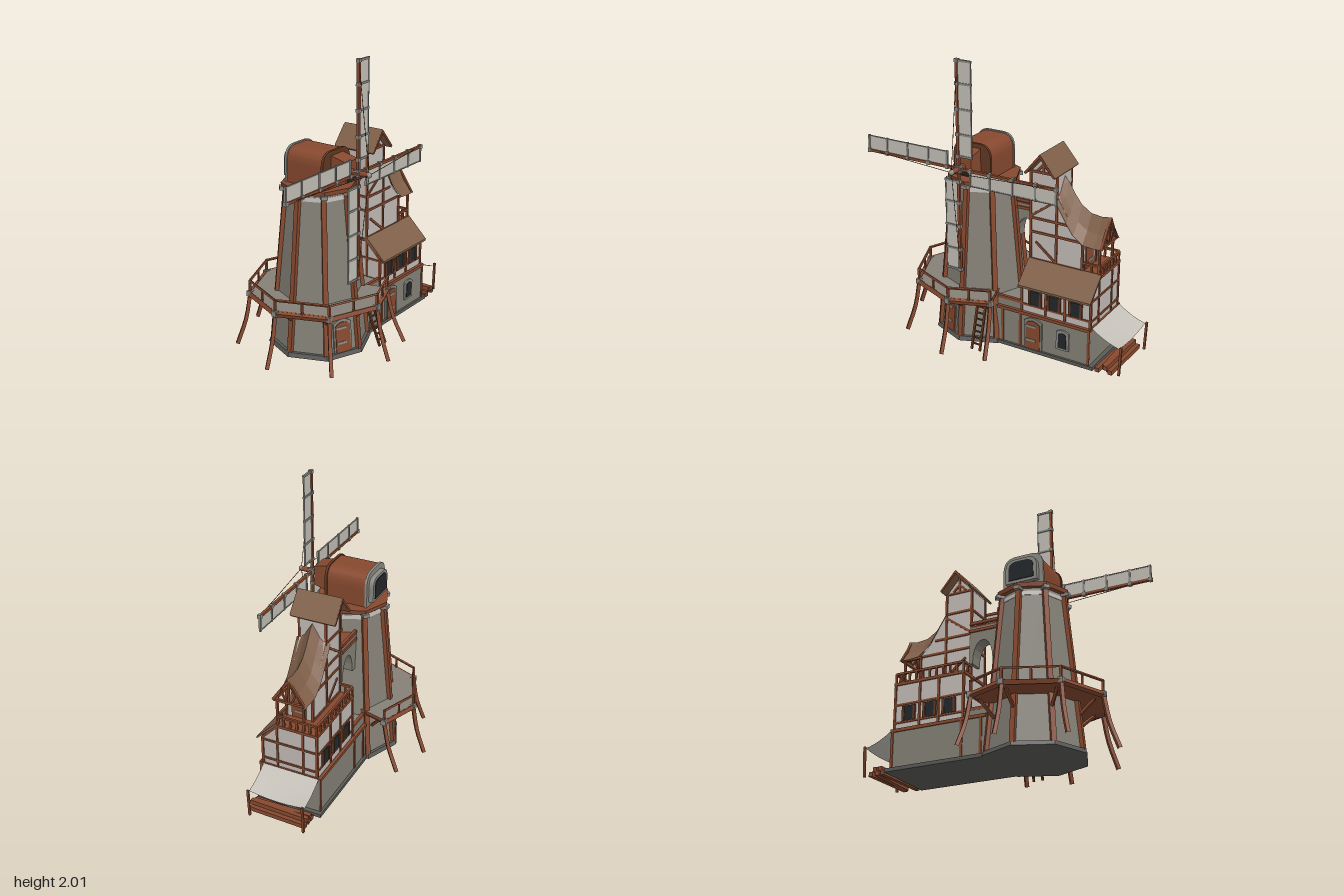
import * as THREE from 'three';

const mat = (name, color, double) => {
  const m = new THREE.MeshStandardMaterial({ color });
  m.name = name;
  if (double) m.side = THREE.DoubleSide;
  return m;
};

export function createModel() {
  const model = new THREE.Group();
  model.name = 'windmill';
  const stone = mat('stone', 0x858177), plinth = mat('darkStone', 0x5a5a57), plaster = mat('plaster', 0xc4bdb8);
  const wood = mat('wood', 0x87492f), roofing = mat('roofShingle', 0x806049, true), dark = mat('darkGlass', 0x24272a);
  const metal = mat('greyMetal', 0x8b8a84), cloth = mat('cloth', 0xc4c0b8, true), darkWood = mat('darkWood', 0x633822);

  // Helpers
  const V = (x, y, z) => new THREE.Vector3(x, y, z);
  const add = (name, geo, m, parent = model) => {
    const mesh = new THREE.Mesh(geo, m);
    mesh.name = name;
    parent.add(mesh);
    return mesh;
  };
  const box = (name, m, x0, x1, y0, y1, z0, z1, parent) => {
    const b = add(name, new THREE.BoxGeometry(x1 - x0, y1 - y0, z1 - z0), m, parent);
    b.position.set((x0 + x1) / 2, (y0 + y1) / 2, (z0 + z1) / 2);
    return b;
  };
  const beam = (name, a, b, w = 0.018, m = wood, parent = model) => {
    const d = b.clone().sub(a), mesh = add(name, new THREE.BoxGeometry(w, d.length(), w), m, parent);
    mesh.position.copy(a).add(b).multiplyScalar(0.5);
    mesh.quaternion.setFromUnitVectors(V(0, 1, 0), d.normalize());
    return mesh;
  };
  const shape = pts => new THREE.Shape(pts.map(p => new THREE.Vector2(p[0], p[1])));
  const extrude = (s, depth) => new THREE.ExtrudeGeometry(s, { depth, bevelEnabled: false, curveSegments: 10 });
  const flat = g => { const f = g.toNonIndexed(); f.computeVertexNormals(); return f; };
  const octagon = (rt, rb, h) => flat(new THREE.CylinderGeometry(rt, rb, h, 8));
  // Profile of [z, y] points swept along x
  const sweepX = (pts, x0, x1) => extrude(shape(pts.map(([z, y]) => [-z, y])), x1 - x0)
    .rotateY(Math.PI / 2).translate(x0, 0, 0);
  const archShape = (w, h) => {
    const s = new THREE.Shape();
    s.moveTo(-w / 2, 0); s.lineTo(w / 2, 0); s.lineTo(w / 2, h * 0.88);
    s.quadraticCurveTo(0, h * 1.1, -w / 2, h * 0.88);
    return s;
  };

  // Octagonal tower
  const CX = -0.22, CZ = -0.005;
  const around = (a, r, y) => V(CX + r * Math.sin(a), y, CZ + r * Math.cos(a));
  const place = (name, geo, m, y) => add(name, geo, m).position.set(CX, y, CZ);
  place('towerPlinth', octagon(0.345, 0.355, 0.03), plinth, 0.015);
  place('towerWall', octagon(0.215, 0.325, 1.13), stone, 0.57);
  place('towerTopBand', octagon(0.222, 0.225, 0.03), plaster, 1.085);
  place('towerRim', octagon(0.255, 0.25, 0.03), wood, 1.135);
  for (let k = 0; k < 8; k++) {
    const a = k * Math.PI / 4;
    const post = beam('towerCornerPost', V(0, 0.02, 0.325), V(0, 1.13, 0.22), 0.034);
    const pivot = new THREE.Group();
    pivot.name = 'towerCorner';
    pivot.position.set(CX, 0, CZ);
    pivot.rotation.y = a;
    pivot.add(post);
    box('rimBlock', metal, -0.022, 0.022, 1.1, 1.125, 0.2, 0.265, pivot);
    model.add(pivot);
  }

  // Gallery around the tower, open toward the house
  const edge = [[0.05, 0.365]];
  for (let k = 0; k >= -4; k--) {
    const p = around(k * Math.PI / 4, 0.475, 0);
    edge.push([p.x, p.z]);
  }
  edge.push([0.05, -0.375]);
  const deck = edge.concat([[0, -0.2], [0, 0.2]]);
  const deckGeo = extrude(shape(deck.map(([x, z]) => [x, -z])), 0.022).rotateX(-Math.PI / 2);
  add('galleryDeck', deckGeo, [stone, wood]).position.y = 0.36;
  add('galleryUnderside', deckGeo.clone().scale(1, 0.4, 1), wood).position.y = 0.35;
  edge.forEach(([x, z], i) => {
    const dir = V(x - CX, 0, z - CZ).normalize(), last = i === 0 || i === edge.length - 1;
    const foot = last ? V(0.08, 0, Math.sign(z) * 0.49) : V(x, 0, z).addScaledVector(dir, 0.095);
    const top = V(x, 0.365, z), mid = top.clone().lerp(foot, 0.35).setY(0.18);
    const leg = new THREE.CatmullRomCurve3([top, mid, foot]);
    add('galleryLeg', flat(new THREE.TubeGeometry(leg, 6, 0.017, 4)), wood);
    beam('railPost', V(x, 0.35, z), V(x, 0.465, z), 0.015);
    box('legBracket', metal, x - 0.018, x + 0.018, 0.348, 0.386, z - 0.018, z + 0.018);
    const inner = V(CX, 0.24, CZ).addScaledVector(dir, 0.29);
    beam('galleryStrut', inner, V(x, 0.35, z).addScaledVector(dir, -0.06), 0.018);
    if (i) {
      const [px, pz] = edge[i - 1];
      beam('galleryRail', V(px, 0.46, pz), V(x, 0.46, z), 0.013);
      beam('galleryRim', V(px, 0.365, pz), V(x, 0.365, z), 0.03);
      const mx = (px + x) / 2, mz = (pz + z) / 2;
      beam('railPost', V(mx, 0.37, mz), V(mx, 0.46, mz), 0.012);
    }
  });

  // Ladder
  for (const x of [-0.1, -0.035]) beam('ladderSide', V(x + 0.02, 0, 0.4), V(x, 0.36, 0.27), 0.014, darkWood);
  for (let i = 1; i < 9; i++) {
    const t = i / 9, x = -0.08 - 0.02 * t, z = 0.4 - 0.13 * t;
    beam('ladderRung', V(x, 0.36 * t, z), V(x + 0.065, 0.36 * t, z), 0.01, darkWood);
  }

  // Arched doors and windows
  const door = (x, y, z, ry, rx) => {
    const g = new THREE.Group();
    g.name = 'door';
    g.rotation.set(rx, ry, 0, 'YXZ');
    g.position.set(x, y, z);
    add('doorFrame', extrude(archShape(0.135, 0.235), 0.012), stone, g);
    add('doorLeaf', extrude(archShape(0.11, 0.215), 0.018), wood, g);
    for (const h of [0.06, 0.165]) box('doorHinge', metal, -0.05, 0.025, h, h + 0.016, 0.01, 0.022, g);
    model.add(g);
  };
  door(-0.333, 0.03, 0.272, -Math.PI / 8, -0.09);
  door(0.305, 0.03, 0.22, 0, 0);
  add('windowFrame', extrude(archShape(0.095, 0.15), 0.012), metal).position.set(0.53, 0.085, 0.22);
  add('windowPane', extrude(archShape(0.06, 0.115), 0.016), dark).position.set(0.53, 0.1, 0.22);

  // Cap: rounded housing with a rear window and a shaft box in front
  const capShape = (w, h) => {
    const s = new THREE.Shape();
    s.moveTo(-w, 0); s.lineTo(w, 0); s.lineTo(w, h * 0.55);
    s.bezierCurveTo(w, h * 0.9, w * 0.75, h, w * 0.35, h);
    s.lineTo(-w * 0.35, h);
    s.bezierCurveTo(-w * 0.75, h, -w, h * 0.9, -w, h * 0.55);
    return s;
  };
  const cap = (name, w, h, y, z0, z1, m) => add(name, extrude(capShape(w, h), z1 - z0), m).position.set(CX - 0.005, y, z0);
  cap('capHousing', 0.14, 0.235, 1.15, -0.17, 0.13, wood);
  cap('capFrontBand', 0.147, 0.243, 1.15, 0.125, 0.143, darkWood);
  cap('capRearBand', 0.147, 0.243, 1.15, -0.172, -0.155, metal);
  cap('capWindowFrame', 0.115, 0.175, 1.18, -0.205, -0.165, metal);
  cap('capWindow', 0.09, 0.135, 1.2, -0.211, -0.2, dark);
  add('shaftBox', sweepX([[0.13, 1.16], [0.26, 1.195], [0.26, 1.335], [0.13, 1.365]], -0.285, -0.155), wood);
  box('shaftBoxOpening', dark, -0.265, -0.175, 1.2, 1.225, 0.255, 0.264);

  // Sails
  const rotor = new THREE.Group();
  rotor.name = 'rotor';
  rotor.position.set(CX, 1.262, 0.31);
  model.add(rotor);
  const shaft = add('shaft', new THREE.CylinderGeometry(0.017, 0.022, 0.18, 10), wood, rotor);
  shaft.rotation.x = Math.PI / 2;
  add('hub', new THREE.BoxGeometry(0.045, 0.045, 0.04), metal, rotor);
  add('shaftTip', new THREE.SphereGeometry(0.019, 10, 8), metal, rotor).position.z = 0.085;
  for (let k = 0; k < 4; k++) {
    const arm = new THREE.Group();
    arm.name = 'sailArm';
    arm.rotation.z = -k * Math.PI / 2;
    rotor.add(arm);
    box('stock', wood, -0.009, 0.009, 0, 0.735, -0.01, 0.01, arm);
    box('sailCloth', cloth, 0.005, 0.103, 0.085, 0.73, -0.002, 0.002, arm);
    box('sailEdge', metal, 0.1, 0.107, 0.085, 0.735, -0.005, 0.005, arm);
    for (const y of [0.09, 0.24, 0.41, 0.58, 0.73]) {
      box('sailBar', metal, -0.013, 0.11, y - 0.007, y + 0.007, -0.007, 0.007, arm);
      box('sailClamp', metal, -0.014, 0.014, y - 0.011, y + 0.011, -0.013, 0.013, arm);
    }
    beam('stay', V(0, 0, 0.085), V(0, 0.73, 0), 0.003, darkWood, arm);
  }

  // House ground floor
  box('housePlinth', plinth, 0, 0.76, 0, 0.025, -0.24, 0.235);
  box('groundFloor', stone, -0.05, 0.73, 0.02, 0.28, -0.22, 0.22);
  box('terrace', stone, 0, 0.2, 0.28, 0.34, -0.2, 0.2);
  for (const s of [1, -1]) {
    beam('terraceBeam', V(0, 0.345, s * 0.19), V(0.2, 0.345, s * 0.19), 0.022);
    beam('sillBeam', V(0.02, 0.28, s * 0.218), V(0.73, 0.28, s * 0.218), 0.022);
    for (const x of [0.06, 0.2, 0.72]) beam('groundPost', V(x, 0.02, s * 0.217), V(x, 0.28, s * 0.217), 0.018);
  }

  // Half-timbered middle floor with lean-to roof
  add('middleFloor', sweepX([[-0.2, 0.28], [0.2, 0.28], [0.2, 0.5], [0.09, 0.61], [-0.2, 0.61]], 0.2, 0.72), plaster);
  add('leanToRoof', sweepX([[0.08, 0.625], [0.24, 0.475], [0.24, 0.49], [0.09, 0.638]], 0.19, 0.735), roofing);
  box('balconyFloor', wood, 0.19, 0.73, 0.605, 0.625, -0.21, 0.09);
  for (const s of [1, -1]) {
    const z = s * 0.2, top = s > 0 ? 0.49 : 0.61;
    for (const y of [0.34, 0.465]) beam('middleRail', V(0.2, y, z), V(0.725, y, z), 0.014);
    for (const x of [0.2, 0.385, 0.53, 0.72]) beam('middlePost', V(x, 0.28, z), V(x, top, z), 0.016);
    for (const x of [0.305, 0.45, 0.61]) {
      box('middleWindow', dark, x - 0.033, x + 0.033, 0.345, 0.45, z - 0.009, z + 0.009);
      for (const d of [-0.042, 0.042]) box('shutter', darkWood, x + d - 0.009, x + d + 0.009, 0.345, 0.45, z - 0.013, z + 0.013);
    }
  }
  for (const x of [0.2, 0.72]) {
    for (const y of [0.335, 0.48]) beam('endRail', V(x, y, -0.2), V(x, y, 0.2), 0.014);
    for (const z of [-0.1, 0.09]) beam('endPost', V(x, 0.28, z), V(x, 0.61, z), 0.014);
    beam('endSill', V(x, 0.28, -0.215), V(x, 0.28, 0.215), 0.024);
    beam('endRafter', V(x, 0.49, 0.205), V(x, 0.61, 0.09), 0.016);
  }

  // Upper tower house with steep gable roof
  const HZ = -0.01, hw = 0.095;
  add('towerHouse', extrude(shape([[0.2, 0.62], [0.4, 0.62], [0.4, 1.26], [0.3, 1.37], [0.2, 1.26]]), 2 * hw), plaster)
    .position.z = HZ - hw;
  add('towerHouseRoof', extrude(shape([[0.178, 1.262], [0.188, 1.252], [0.295, 1.38], [0.402, 1.252], [0.412, 1.262], [0.295, 1.405]]), 0.32), roofing)
    .position.z = -0.175;
  const timbers = [[0.2, 0.62, 0.2, 1.26], [0.395, 0.62, 0.395, 1.26], [0.59, 0.62, 0.59, 0.83], [0.2, 0.83, 0.59, 0.83],
    [0.2, 0.93, 0.48, 0.93], [0.2, 1.11, 0.4, 1.11], [0.2, 0.63, 0.59, 0.63], [0.24, 0.76, 0.39, 0.64], [0.2, 0.94, 0.39, 1.08],
    [0.2, 1.26, 0.4, 1.26], [0.295, 1.26, 0.295, 1.38], [0.25, 1.27, 0.295, 1.32], [0.345, 1.27, 0.295, 1.32]];
  for (const s of [1, -1]) {
    const z = HZ + s * hw;
    for (const [a, b, c, d] of timbers) beam('timber', V(a, b, z), V(c, d, z), 0.016);
    for (const t of [-1, 1]) beam('bargeboard', V(0.295 + t * 0.108, 1.262, HZ - 0.005 + s * 0.157), V(0.295, 1.39, HZ - 0.005 + s * 0.157), 0.014);
  }
  for (const y of [0.83, 0.93, 1.11]) beam('sideTimber', V(0.2, y, HZ - hw), V(0.2, y, HZ + hw), 0.016);
  beam('sideBrace', V(0.2, 0.95, HZ - hw), V(0.2, 1.1, HZ + hw), 0.014);

  // Annex under the swept saddle roof
  add('annexWall', extrude(shape([[0.4, 0.62], [0.59, 0.62], [0.59, 0.84], [0.52, 0.91], [0.46, 1.01], [0.4, 1.12]]), 2 * hw), plaster)
    .position.z = HZ - hw;
  add('annexGable', sweepX([[HZ - hw, 0.83], [HZ + hw, 0.83], [HZ, 0.98]], 0.57, 0.592), plaster);
  const sections = [[0.385, 1.25, 1.1], [0.43, 1.2, 1.03], [0.48, 1.12, 0.945], [0.53, 1.055, 0.875], [0.6, 1.01, 0.825], [0.68, 1.0, 0.818], [0.75, 1.012, 0.82]];
  for (const s of [-1, 1]) {
    const pos = [], idx = [];
    sections.forEach(([x, ridge, eave], i) => {
      pos.push(x, ridge, HZ, x, (ridge + eave) / 2 - 0.012, HZ + s * 0.055, x, eave, HZ + s * 0.122);
      if (i) for (const j of [0, 1]) {
        const a = 3 * i - 3 + j, b = a + 3;
        idx.push(...(s > 0 ? [a, a + 1, b, b, a + 1, b + 1] : [a, b, a + 1, b, b + 1, a + 1]));
      }
    });
    const g = new THREE.BufferGeometry();
    g.setAttribute('position', new THREE.Float32BufferAttribute(pos, 3));
    g.setIndex(idx);
    add('saddleRoof', flat(g), roofing);
    beam('gableRafter', V(0.735, 0.825, HZ + s * 0.112), V(0.735, 0.99, HZ), 0.018);
    beam('gableBrace', V(0.73, 0.83, HZ + s * 0.02), V(0.73, 0.9, HZ + s * 0.055), 0.012);
    beam('porchPost', V(0.715, 0.62, HZ + s * 0.095), V(0.715, 0.83, HZ + s * 0.095), 0.015);
    beam('porchPlate', V(0.58, 0.825, HZ + s * 0.1), V(0.735, 0.825, HZ + s * 0.1), 0.016);
  }
  beam('gableTie', V(0.73, 0.825, -0.12), V(0.73, 0.825, 0.1), 0.018);
  beam('gableKingPost', V(0.73, 0.825, HZ), V(0.73, 0.98, HZ), 0.014);
  box('porchDoor', wood, 0.585, 0.599, 0.63, 0.81, -0.06, 0.045);
  for (const y of [0.67, 0.765]) box('porchDoorHinge', metal, 0.596, 0.602, y, y + 0.014, -0.05, 0.02);

  // Balcony railing
  const railing = (a, b, n) => {
    beam('balconyRail', a.clone().setY(0.69), b.clone().setY(0.69), 0.015);
    for (let i = 0; i <= n; i++) {
      const p = a.clone().lerp(b, i / n);
      beam('baluster', p.clone().setY(0.62), p.clone().setY(0.69), 0.013);
    }
  };
  railing(V(0.2, 0, -0.2), V(0.72, 0, -0.2), 10);
  railing(V(0.72, 0, -0.2), V(0.72, 0, 0.085), 6);
  railing(V(0.6, 0, 0.085), V(0.72, 0, 0.085), 2);
  railing(V(0.2, 0, -0.2), V(0.2, 0, -0.1), 2);

  // Arched bridge from tower to house
  const arch = shape([[0.18, 0.7], [0.2, 0.7], [0.2, 0.96], [-0.04, 0.96], [-0.04, 0.7], [0.03, 0.7]]);
  arch.bezierCurveTo(0.03, 0.915, 0.18, 0.915, 0.18, 0.7);
  add('bridgeArch', extrude(arch, 0.1), stone).position.z = -0.12;
  box('bridgeDeck', wood, -0.03, 0.2, 0.96, 0.972, -0.12, -0.02);
  for (const z of [-0.12, -0.02]) for (const y of [0.935, 0.99]) beam('bridgeBeam', V(-0.02, y, z), V(0.2, y, z), 0.02);

  // Awning on leaning poles, with stacked timber below
  const awning = new THREE.PlaneGeometry(1, 1, 6, 6), p = awning.attributes.position;
  for (let i = 0; i < p.count; i++) {
    const u = p.getX(i) + 0.5, v = p.getY(i) * 2;
    p.setXYZ(i, 0.73 + 0.2 * u, 0.29 - 0.095 * u - 0.05 * u * (1 - u) - 0.018 * u * (1 - v * v), -0.01 - 0.205 * v);
  }
  awning.computeVertexNormals();
  add('awning', awning, cloth);
  for (const z of [0.195, -0.205]) beam('awningPole', V(0.935, 0, z), V(0.945, 0.21, z), 0.015);
  [[0.8, 0.015, 0.23], [0.84, 0.015, 0.2], [0.89, 0.015, 0.22], [0.82, 0.045, 0.215], [0.86, 0.045, 0.23]]
    .forEach(([x, y, z], i) => beam('stackedTimber', V(x, y, -0.2), V(x + (i % 2 ? 0.02 : -0.01), y, z), 0.03));
  return model;
}
